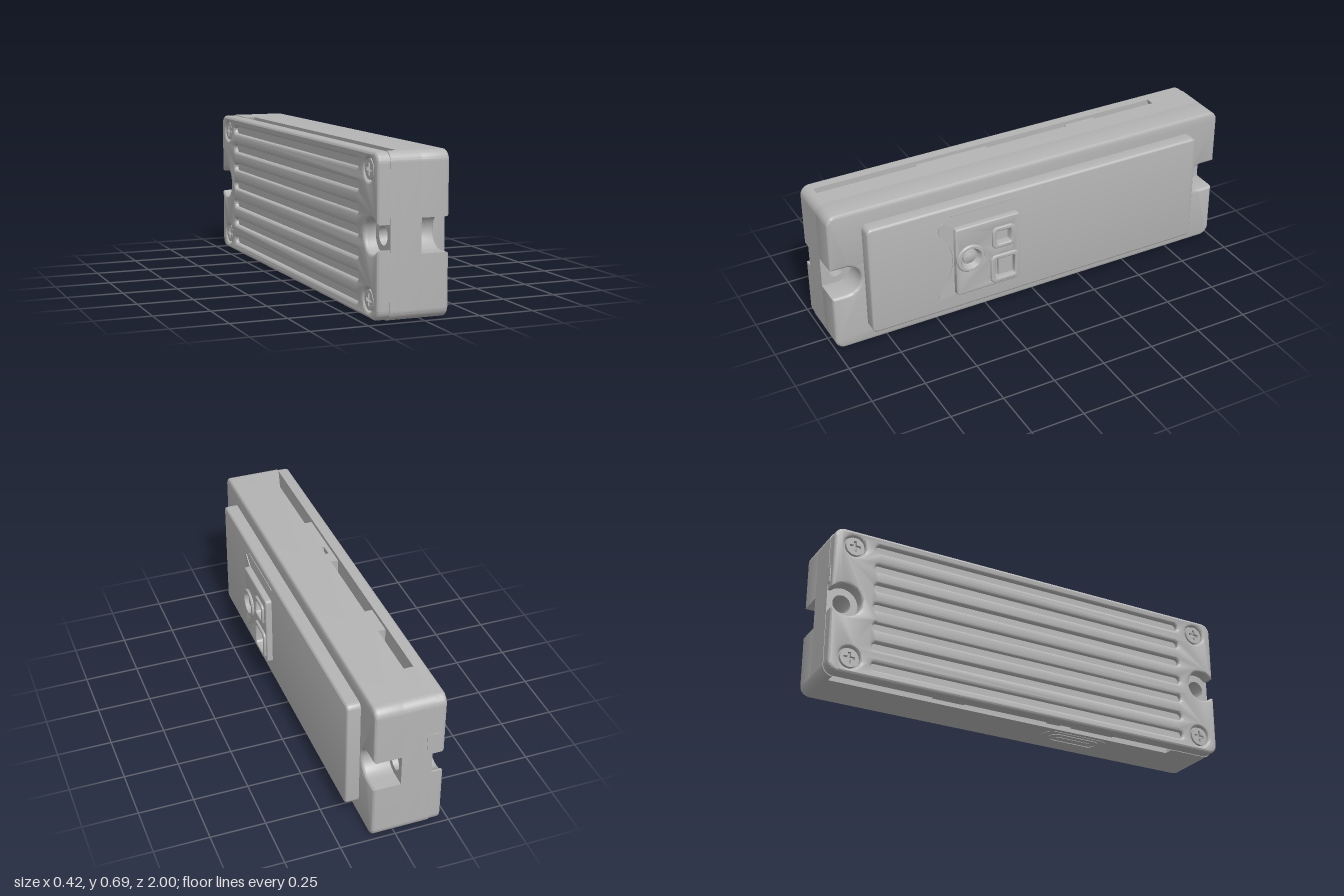
import * as THREE from 'three';
import { toCreasedNormals } from 'three/addons/utils/BufferGeometryUtils.js';

const casing = new THREE.MeshStandardMaterial({ color: 0xb4b4b4 });
casing.name = 'casingGrey';

const MID = 0.35;      // height of the centre line
const BOLT = 0.93;     // distance of the mounting holes from the middle

// Rounded rectangle centred on (z, y); shape x runs along -z
function roundRect(z, y, w, h, r, Type = THREE.Shape) {
  const s = new Type(), a = w / 2 - r, b = h / 2 - r, u = -z;
  s.absarc(u + a, y - b, r, -Math.PI / 2, 0);
  s.absarc(u + a, y + b, r, 0, Math.PI / 2);
  s.absarc(u - a, y + b, r, Math.PI / 2, Math.PI);
  s.absarc(u - a, y - b, r, Math.PI, Math.PI * 1.5);
  s.closePath();
  return s;
}

function circle(z, y, r, Type = THREE.Path) {
  return new Type().absarc(-z, y, r, 0, Math.PI * 2);
}

// Case outline with a round notch in each end, opened by a mouth of the given half height
function notchedOutline(hw, hh, r, mouth, radius) {
  const s = new THREE.Shape(), a = Math.asin(mouth / radius), P = Math.PI;
  s.absarc(hw - r, MID - hh + r, r, -P / 2, 0);
  s.lineTo(hw, MID - mouth);
  s.absarc(BOLT, MID, radius, -a, a, true);
  s.lineTo(hw, MID + mouth);
  s.absarc(hw - r, MID + hh - r, r, 0, P / 2);
  s.absarc(-hw + r, MID + hh - r, r, P / 2, P);
  s.lineTo(-hw, MID + mouth);
  s.absarc(-BOLT, MID, radius, P - a, P + a, true);
  s.lineTo(-hw, MID - mouth);
  s.absarc(-hw + r, MID - hh + r, r, P, P * 1.5);
  s.closePath();
  return s;
}

export function createModel() {
  const model = new THREE.Group();
  model.name = 'wallModule';

  const add = (name, geometry) => {
    const m = new THREE.Mesh(toCreasedNormals(geometry, 0.6), casing);
    m.name = name;
    model.add(m);
    return m;
  };

  // Extrude a side-on shape from x0 to x1 with rounded rims
  const slab = (name, shape, x0, x1, bevel = 0) => {
    const g = new THREE.ExtrudeGeometry(shape, {
      depth: x1 - x0 - 2 * bevel, curveSegments: 10, bevelEnabled: bevel > 0,
      bevelThickness: bevel, bevelSize: bevel, bevelOffset: -bevel, bevelSegments: 3,
    });
    g.translate(0, 0, x0 + bevel);
    g.rotateY(Math.PI / 2);
    return add(name, g);
  };

  const box = (name, x0, x1, y0, y1, z0, z1) => {
    const g = new THREE.BoxGeometry(x1 - x0, y1 - y0, z1 - z0);
    g.translate((x0 + x1) / 2, (y0 + y1) / 2, (z0 + z1) / 2);
    return add(name, g);
  };

  // Front shell with wide end notches, and the middle shell with bolt holes
  slab('frontShell', notchedOutline(0.998, 0.345, 0.045, 0.073, 0.073), -0.03, 0.107, 0.013);
  const middle = roundRect(0, MID, 1.996, 0.69, 0.045);
  middle.holes.push(circle(BOLT, MID, 0.042), circle(-BOLT, MID, 0.042));
  slab('middleShell', middle, -0.11, -0.017);

  // Vent layer: solid ends with recessed pillars between the slots
  for (const flip of [false, true]) {
    const end = new THREE.Shape();
    end.moveTo(0.77, 0.005);
    end.absarc(0.953, 0.05, 0.045, -Math.PI / 2, 0);
    end.absarc(0.953, 0.65, 0.045, 0, Math.PI / 2);
    end.lineTo(0.77, 0.695);
    end.closePath();
    end.holes.push(circle(-BOLT, MID, 0.042));
    const m = slab('ventLayerEnd', end, -0.155, -0.11);
    if (flip) {
      m.rotation.x = Math.PI;
      m.position.y = 2 * MID;
    }
  }
  for (const [z0, z1] of [[-0.465, -0.31], [0.11, 0.18], [0.24, 0.465]]) {
    box('ventPillar', -0.155, -0.11, 0.025, 0.675, z0, z1);
  }
  box('ventPillarWeb', -0.155, -0.135, 0.025, 0.675, 0.17, 0.25);

  // Back cover: flat base plus a grooved outer skin
  slab('backCoverBase', notchedOutline(0.996, 0.342, 0.045, 0.052, 0.075), -0.19, -0.155);
  const skin = notchedOutline(0.996, 0.342, 0.045, 0.052, 0.075);
  for (let i = -3; i <= 3; i++) {
    skin.holes.push(roundRect(0, MID + i * 0.094, 1.6, 0.036, 0.0179, THREE.Path));
  }
  const screws = [];
  for (const z of [-0.9, 0.9]) for (const y of [0.083, 0.617]) screws.push([z, y]);
  for (const [z, y] of screws) skin.holes.push(circle(z, y, 0.05));
  slab('backCoverSkin', skin, -0.21, -0.176, 0.012);

  // Screw heads with a cross recess
  for (const [z, y] of screws) {
    const head = circle(z, y, 0.043, THREE.Shape);
    const cross = new THREE.Path(), a = 0.007, b = 0.026;
    const pts = [[a, a], [a, b], [-a, b], [-a, a], [-b, a], [-b, -a],
      [-a, -a], [-a, -b], [a, -b], [a, -a], [b, -a], [b, a]];
    cross.setFromPoints(pts.map(([p, q]) => new THREE.Vector2(-z + p, y + q)));
    head.holes.push(cross);
    slab('screwHead', head, -0.205, -0.19);
  }

  // Latch tab bridging the seam on the rear end
  box('latchTab', -0.18, -0.128, 0.43, 0.51, -1, -0.98);

  // Front panel
  slab('frontPanel', roundRect(0, MID, 1.685, 0.54, 0.025), 0.09, 0.168, 0.01);

  // Thin raised trim around the sensor
  const trim = new THREE.Shape();
  trim.moveTo(-0.43, 0.17);
  trim.lineTo(-0.5, 0.15);
  trim.quadraticCurveTo(-0.53, 0.155, -0.51, 0.19);
  trim.quadraticCurveTo(-0.45, 0.25, -0.445, MID);
  trim.quadraticCurveTo(-0.45, 0.43, -0.505, 0.49);
  trim.quadraticCurveTo(-0.525, 0.54, -0.485, 0.55);
  trim.lineTo(-0.43, 0.51);
  trim.closePath();
  slab('sensorTrim', trim, 0.16, 0.172);
  slab('sensorTopBar', roundRect(0.285, 0.577, 0.33, 0.01, 0.004), 0.16, 0.171);

  // Sensor block, open at the lens and both windows
  const lens = [0.37, MID];
  const windows = [[0.205, 0.418, 0.115, 0.11], [0.2, 0.253, 0.142, 0.145]];
  const block = roundRect(0.28, 0.34, 0.32, 0.35, 0.012);
  block.holes.push(circle(...lens, 0.055));
  for (const [z, y, w, h] of windows) {
    block.holes.push(roundRect(z, y, w - 0.028, h - 0.028, 0.015, THREE.Path));
  }
  slab('sensorBlock', block, 0.155, 0.197, 0.006);

  // Raised window frames
  for (const [z, y, w, h] of windows) {
    const frame = roundRect(z, y, w, h, 0.025);
    frame.holes.push(roundRect(z, y, w - 0.042, h - 0.042, 0.012, THREE.Path));
    slab('windowFrame', frame, 0.155, 0.207, 0.005);
  }
  box('windowInsert', 0.16, 0.18, 0.2, 0.306, 0.15, 0.222);

  // Lens ring and dome
  const profile = [[0.07, 0.16], [0.07, 0.2], [0.065, 0.207], [0.053, 0.207], [0.04, 0.18],
    [0.034, 0.18], [0.032, 0.188], [0.022, 0.194], [0, 0.197]];
  const ring = new THREE.LatheGeometry(profile.map(([r, h]) => new THREE.Vector2(r, h)), 32);
  ring.rotateZ(-Math.PI / 2);
  ring.translate(0, lens[1], lens[0]);
  add('lens', ring);

  // Connector port under the case: pad, rim and tongue
  const port = (name, w, l, y0, y1, hole) => {
    const s = roundRect(0, 0, w, l, w / 2 - 0.001);
    if (hole) s.holes.push(roundRect(0, 0, w - hole, l - hole, (w - hole) / 2 - 0.001, THREE.Path));
    const g = new THREE.ExtrudeGeometry(s, { depth: y1 - y0, bevelEnabled: false, curveSegments: 8 });
    g.rotateX(-Math.PI / 2);
    g.translate(-0.03, y0, 0.3);
    add(name, g);
  };
  port('portPad', 0.12, 0.34, 0.003, 0.02, 0);
  port('portRim', 0.085, 0.26, 0, 0.01, 0.025);
  port('portTongue', 0.02, 0.18, 0.001, 0.01, 0);

  return model;
}
